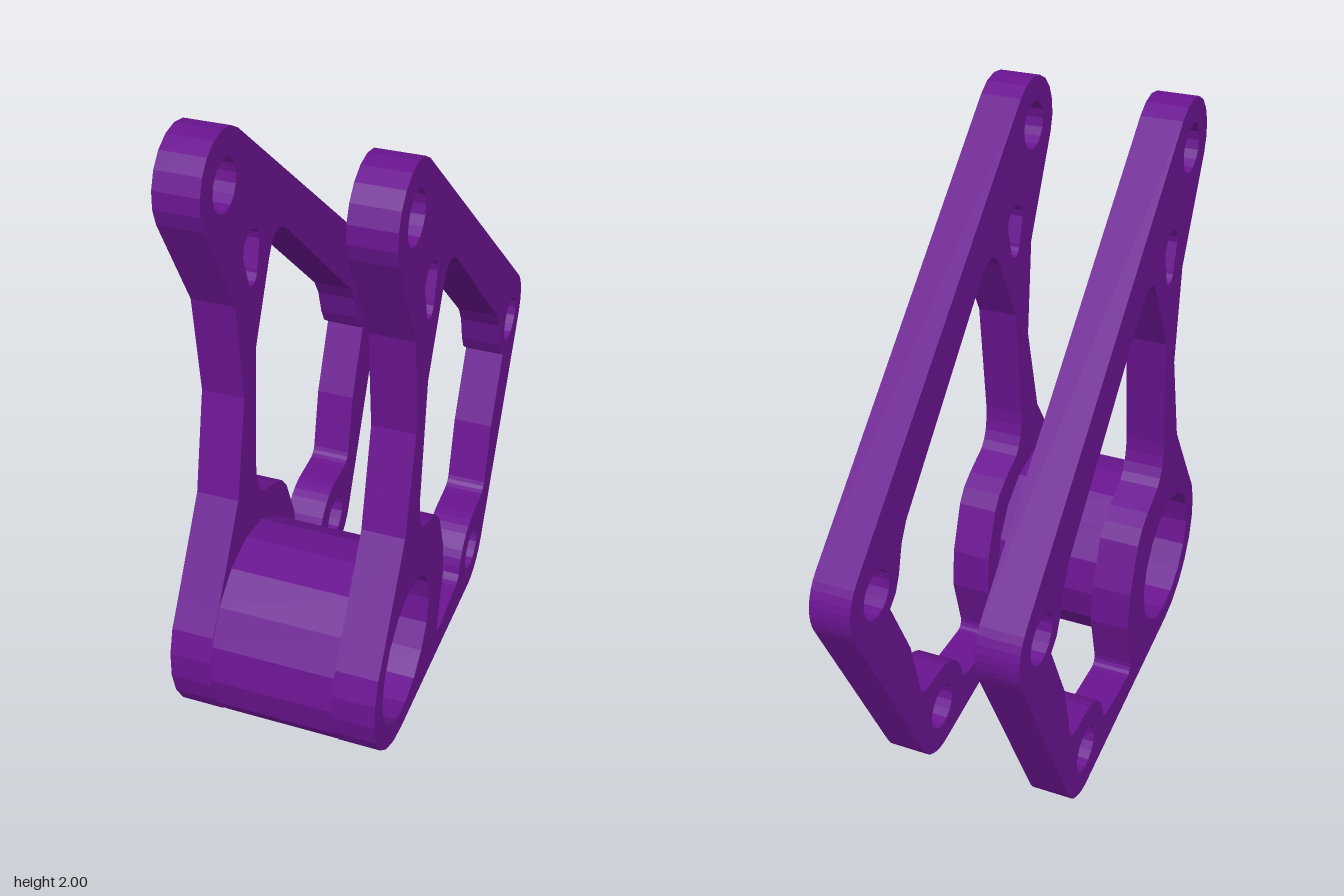
import * as THREE from 'three';

const rad = THREE.MathUtils.degToRad;
const HALF = 0.311, THICK = 0.127;
const BARREL = { x: -0.48, y: 0.396, r: 0.298, bore: 0.226 };

// 16-sided counter-clockwise circle
function circlePoints(x, y, r) {
  return new THREE.Path().absarc(x, y, r, 0, Math.PI * 2, false).getPoints(8).slice(0, -1);
}

function circleHole(x, y, r) {
  return new THREE.Path(circlePoints(x, y, r));
}

function extrude(shape, depth, z, material, name) {
  const geo = new THREE.ExtrudeGeometry(shape, { depth, bevelEnabled: false, curveSegments: 4 });
  geo.translate(0, 0, z);
  const mesh = new THREE.Mesh(geo, material);
  mesh.name = name;
  return mesh;
}

// Side plate: lobes joined by tangents, with a waist above the barrel
function plateShape() {
  const s = new THREE.Shape();
  s.absarc(-0.484, 1.852, 0.148, rad(205), rad(48.6), true);
  s.absarc(0.633, 0.87, 0.15, rad(48.6), rad(-27), true);
  s.absarc(0.267, 0.156, 0.156, rad(-27), rad(-97), true);
  s.absarc(BARREL.x, BARREL.y, BARREL.r, rad(-97), rad(-223), true);
  [[-0.52, 0.865], [-0.44, 1.17], [-0.465, 1.484]].forEach(p => s.lineTo(...p));
  s.closePath();

  // Large window
  const w = new THREE.Path();
  w.moveTo(-0.343, 1.28);
  w.lineTo(-0.225, 1.5);
  w.quadraticCurveTo(-0.18, 1.59, -0.1, 1.525);
  [[0.44, 1.0], [0.475, 0.94], [0.5, 0.85], [0.525, 0.8], [0.563, 0.77],
    [0.455, 0.545], [0.405, 0.34]].forEach(p => w.lineTo(...p));
  w.quadraticCurveTo(0.395, 0.311, 0.36, 0.311);
  w.lineTo(0.267, 0.311);
  w.absarc(0.267, 0.156, 0.155, rad(90), rad(175), false);
  w.quadraticCurveTo(0.1, 0.148, 0.06, 0.148);
  w.lineTo(-0.115, 0.142);
  w.quadraticCurveTo(-0.15, 0.142, -0.145, 0.18);
  [[-0.097, 0.36], [-0.108, 0.49], [-0.165, 0.645], [-0.2, 0.69], [-0.25, 0.72],
    [-0.34, 0.76]].forEach(p => w.lineTo(...p));
  w.quadraticCurveTo(-0.39, 0.8, -0.385, 0.9);
  // Reversed to run counter-clockwise, so its walls face into the opening
  const windowHole = new THREE.Path(w.getPoints(4).reverse());

  // Tapered slot under the top hole
  const slot = new THREE.Path();
  slot.absarc(-0.342, 1.592, 0.056, 0, Math.PI, false);
  slot.absarc(-0.342, 1.512, 0.032, Math.PI, Math.PI * 2, false);
  slot.closePath();

  s.holes.push(
    windowHole, slot,
    circleHole(BARREL.x, BARREL.y, BARREL.bore),
    circleHole(-0.484, 1.852, 0.073),
    circleHole(0.633, 0.87, 0.075),
    circleHole(0.267, 0.156, 0.075),
  );
  return s;
}

export function createModel() {
  const model = new THREE.Group();
  model.name = 'leverBracket';
  const material = new THREE.MeshStandardMaterial({ color: 0x6a1490 });

  // Two matching plates
  const plate = plateShape();
  model.add(extrude(plate, THICK, HALF - THICK, material, 'frontPlate'));
  model.add(extrude(plate, THICK, -HALF, material, 'backPlate'));

  // Hollow barrel between the plates
  const ring = new THREE.Shape(circlePoints(BARREL.x, BARREL.y, BARREL.r));
  ring.holes.push(circleHole(BARREL.x, BARREL.y, BARREL.bore));
  const inner = HALF - THICK;
  model.add(extrude(ring, inner * 2, -inner, material, 'pivotBarrel'));

  // The bracket sits diagonally
  model.rotation.y = Math.PI / 4;
  return model;
}
